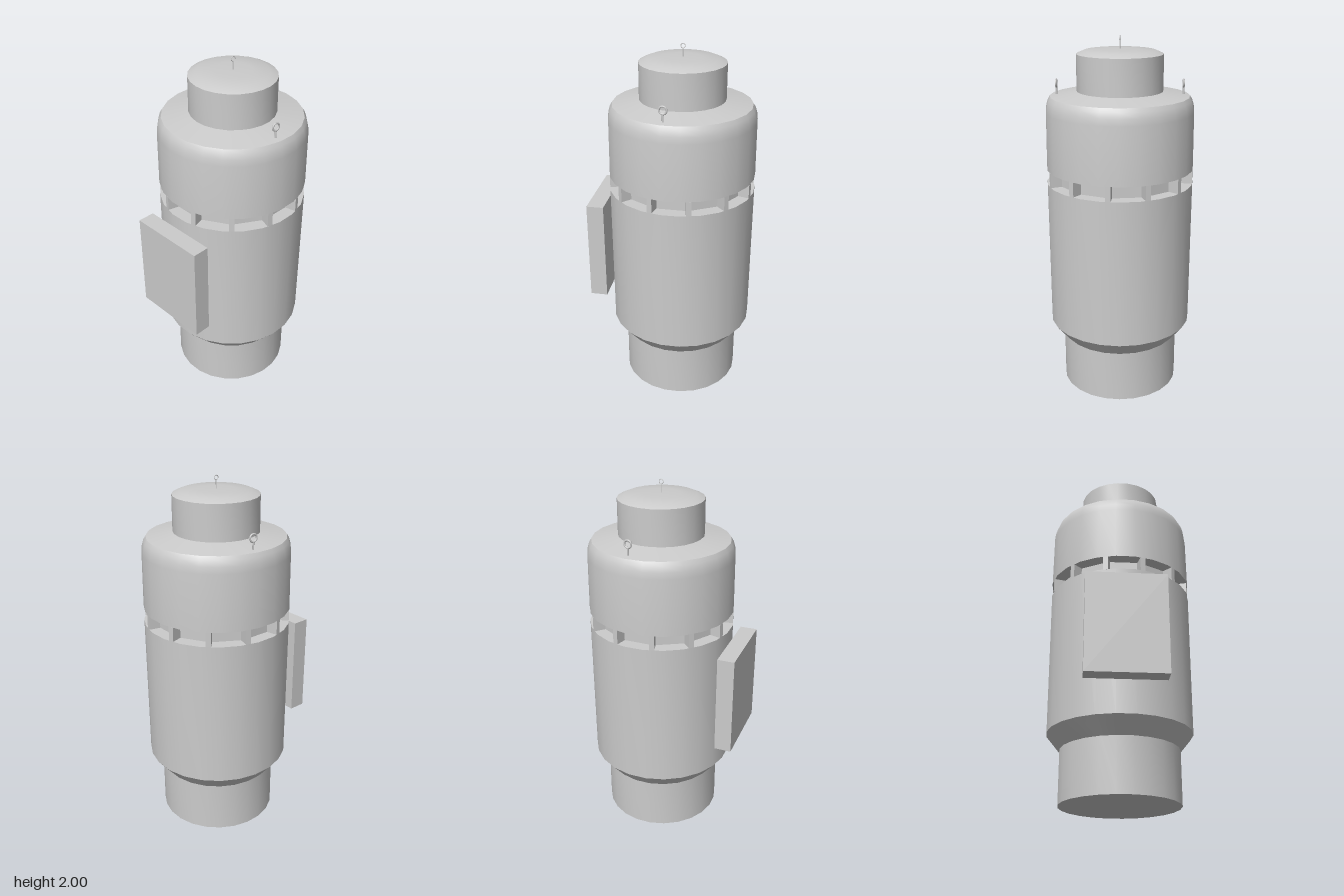
import * as THREE from 'three';
import { toCreasedNormals } from 'three/addons/utils/BufferGeometryUtils.js';

const CX = 0.057;      // axis of the round body
const SIDES = 24;
const grey = new THREE.MeshStandardMaterial({ color: 0xcccccc });

function add(parent, name, geometry, x = 0, y = 0, z = 0) {
  const mesh = new THREE.Mesh(geometry, grey);
  mesh.name = name;
  mesh.position.set(x, y, z);
  parent.add(mesh);
  return mesh;
}

// Turned part from [radius, height] pairs, listed bottom to top
function turned(profile) {
  const pts = profile.map(([r, y]) => new THREE.Vector2(r, y));
  return toCreasedNormals(new THREE.LatheGeometry(pts, SIDES), 0.5);
}

// Ring of posts between twelve recessed vents, as one notched outline
function ventRing(height) {
  const outer = 0.402, inner = 0.34, half = 13, shape = new THREE.Shape();
  const corner = (r, deg, first) => {
    const a = THREE.MathUtils.degToRad(deg);
    shape[first ? 'moveTo' : 'lineTo'](r * Math.sin(a), -r * Math.cos(a));
  };
  for (let i = 0; i < 12; i++) {
    const mid = 6.5 + i * 30;
    corner(outer, mid - half, i === 0);
    corner(inner, mid - half);
    corner(inner, mid + half);
    corner(outer, mid + half);
  }
  return new THREE.ExtrudeGeometry(shape, { depth: height, bevelEnabled: false }).rotateX(-Math.PI / 2);
}

// Lifting eye: thin stem with a ring on top
function eyeBolt(name, stem, ringRadius, wire) {
  const bolt = new THREE.Group();
  bolt.name = name;
  add(bolt, 'stem', new THREE.CylinderGeometry(wire, wire, stem, 8), 0, stem / 2);
  add(bolt, 'ring', new THREE.TorusGeometry(ringRadius, wire, 8, 20), 0, stem + ringRadius);
  return bolt;
}

export function createModel() {
  const model = new THREE.Group();
  model.name = 'verticalMotor';
  const motor = new THREE.Group();
  motor.name = 'motor';
  motor.position.x = CX;
  model.add(motor);

  // Base, flare and main barrel up to the vents
  add(motor, 'lowerBody', turned([
    [0, 0], [0.33, 0], [0.33, 0.295], [0.403, 0.385], [0.405, 1.21], [0.3, 1.21],
  ]));

  add(motor, 'ventRing', ventRing(0.08), 0, 1.21);

  // Rounded hood, shoulder, neck and domed cap
  add(motor, 'upperBody', turned([
    [0.3, 1.29], [0.405, 1.29], [0.402, 1.6], [0.398, 1.635], [0.389, 1.665], [0.377, 1.685],
    [0.233, 1.71], [0.233, 1.905], [0.19, 1.923], [0.1, 1.928], [0, 1.93],
  ]));

  // Lifting eyes, front and back, and a small one on the cap
  for (const side of [1, -1]) {
    const eye = eyeBolt(side > 0 ? 'frontEye' : 'backEye', 0.05, 0.02, 0.005);
    eye.position.set(0, 1.68, side * 0.341);
    motor.add(eye);
  }
  const capEye = eyeBolt('capEye', 0.055, 0.012, 0.002);
  capEye.position.y = 1.92;
  motor.add(capEye);

  // Terminal box, turned slightly against the barrel
  const box = add(model, 'terminalBox', new THREE.BoxGeometry(0.095, 0.565, 0.44), -0.39, 0.848, 0.056);
  box.rotation.y = 0.126;

  return model;
}
